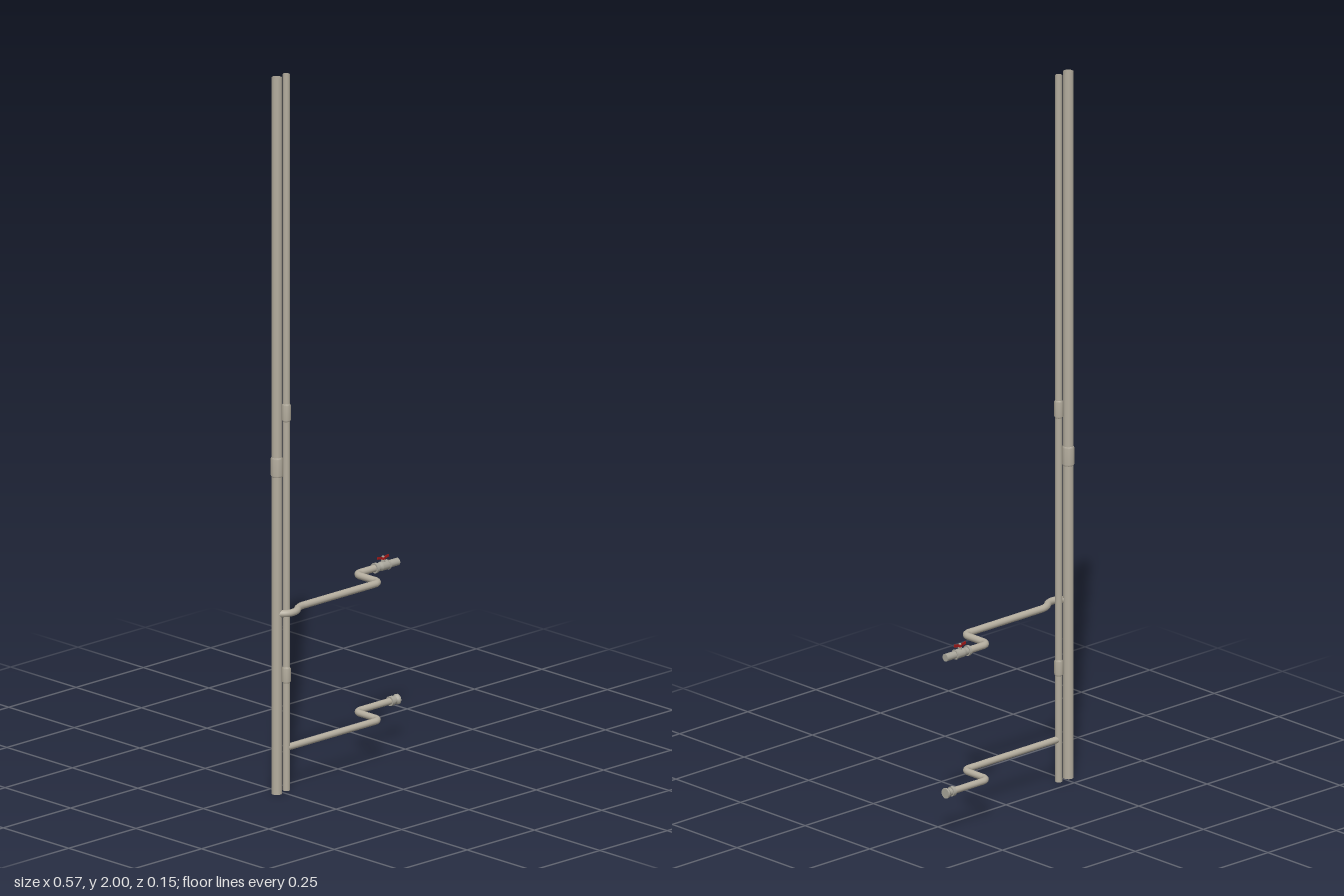
import * as THREE from 'three';

const V = (x, y, z) => new THREE.Vector3(x, y, z);

// Path of straight runs joined by rounded corners; each point is [x, z, cornerSize]
function pipePath(points, y) {
  const path = new THREE.CurvePath();
  const p = points.map(([x, z]) => V(x, y, z));
  let from = p[0];
  for (let i = 1; i < p.length - 1; i++) {
    const c = points[i][2], k = c * 0.552;
    const back = p[i - 1].clone().sub(p[i]).normalize();
    const ahead = p[i + 1].clone().sub(p[i]).normalize();
    const a = p[i].clone().addScaledVector(back, c);
    const b = p[i].clone().addScaledVector(ahead, c);
    path.add(new THREE.LineCurve3(from, a));
    path.add(new THREE.CubicBezierCurve3(a, a.clone().addScaledVector(back, -k), b.clone().addScaledVector(ahead, -k), b));
    from = b;
  }
  path.add(new THREE.LineCurve3(from, p[p.length - 1]));
  return path;
}

export function createModel() {
  const model = new THREE.Group();
  const pipeMat = new THREE.MeshStandardMaterial({ color: 0xb5ae9f, side: THREE.DoubleSide });
  pipeMat.name = 'pipe beige';
  const fittingMat = new THREE.MeshStandardMaterial({ color: 0xaaa79c });
  fittingMat.name = 'fitting grey';
  const redMat = new THREE.MeshStandardMaterial({ color: 0xa01818 });
  redMat.name = 'handle red';

  function add(name, geometry, material, parent = model) {
    const mesh = new THREE.Mesh(geometry, material);
    mesh.name = name;
    parent.add(mesh);
    return mesh;
  }

  // Open vertical riser with tapered sleeve couplings
  function riser(name, x, z, r, sleeveR, sleeves) {
    const group = new THREE.Group();
    group.name = name;
    group.position.set(x, 0, z);
    model.add(group);
    add(name + 'Pipe', new THREE.CylinderGeometry(r, r, 2, 10, 1, true).translate(0, 1, 0), pipeMat, group);
    for (const [y0, y1] of sleeves) {
      const profile = [[r, y0], [sleeveR, y0 + 0.005], [sleeveR, y1 - 0.005], [r, y1]];
      add(name + 'Coupling', new THREE.LatheGeometry(profile.map(([a, b]) => new THREE.Vector2(a, b)), 10), pipeMat, group);
    }
  }
  riser('largeRiser', -0.267, 0.041, 0.0145, 0.017, [[0.885, 0.94]]);
  riser('smallRiser', -0.228, 0.037, 0.0098, 0.0125, [[0.3, 0.345], [1.03, 1.08]]);

  // Horizontal branches; the upper one swerves around the small riser
  const zRun = 0.038, zEnd = -0.062;
  const tail = [[0.122, zRun, 0.022], [0.122, zEnd, 0.022], [0.279, zEnd]];
  const upperY = 0.503, lowerY = 0.119;
  const upper = pipePath([[-0.267, 0.045], [-0.246, 0.0645, 0.012], [-0.216, 0.0645, 0.014], [-0.184, zRun, 0.018], ...tail], upperY);
  const lower = pipePath([[-0.228, zRun], ...tail], lowerY);
  add('upperBranch', new THREE.TubeGeometry(upper, 160, 0.0098, 12), pipeMat);
  add('lowerBranch', new THREE.TubeGeometry(lower, 140, 0.0092, 12), pipeMat);

  // Solid collar between two x positions, optionally tapered
  function collar(name, y, x0, x1, r0, r1 = r0, sides = 12) {
    const g = new THREE.CylinderGeometry(r1, r0, x1 - x0, sides).rotateZ(-Math.PI / 2);
    add(name, g, fittingMat).position.set((x0 + x1) / 2, y, zEnd);
  }

  // Ball valve on the upper branch
  collar('unionRing', upperY, 0.195, 0.203, 0.0143);
  collar('valveInlet', upperY, 0.203, 0.213, 0.0108);
  collar('valveNeck', upperY, 0.211, 0.219, 0.0108, 0.0128);
  collar('valveBody', upperY, 0.219, 0.243, 0.0128);
  collar('valveNut', upperY, 0.242, 0.248, 0.0143, 0.0143, 6);
  collar('valveOutlet', upperY, 0.248, 0.282, 0.0105);

  // Valve stem and butterfly handle
  const handle = new THREE.Group();
  handle.name = 'valveHandle';
  handle.position.set(0.228, upperY, zEnd);
  model.add(handle);
  add('valveStem', new THREE.CylinderGeometry(0.005, 0.006, 0.012, 8).translate(0, 0.015, 0), fittingMat, handle);
  add('handleHub', new THREE.CylinderGeometry(0.0065, 0.0065, 0.006, 8).translate(0, 0.0215, 0), redMat, handle);
  add('handleNut', new THREE.CylinderGeometry(0.004, 0.004, 0.003, 6).translate(0, 0.0255, 0), fittingMat, handle);
  for (const s of [-1, 1]) {
    const wing = new THREE.BoxGeometry(0.017, 0.007, 0.003).rotateZ(s * 0.2).translate(s * 0.0125, 0.0235, 0);
    add(s > 0 ? 'leftWing' : 'rightWing', wing, redMat, handle);
  }

  // Threaded end connector on the lower branch
  collar('connectorRing', lowerY, 0.252, 0.262, 0.0135);
  collar('connectorNeck', lowerY, 0.262, 0.275, 0.0105);
  collar('connectorFlare', lowerY, 0.271, 0.277, 0.0105, 0.0145);
  collar('connectorFlange', lowerY, 0.277, 0.282, 0.0145);

  return model;
}
